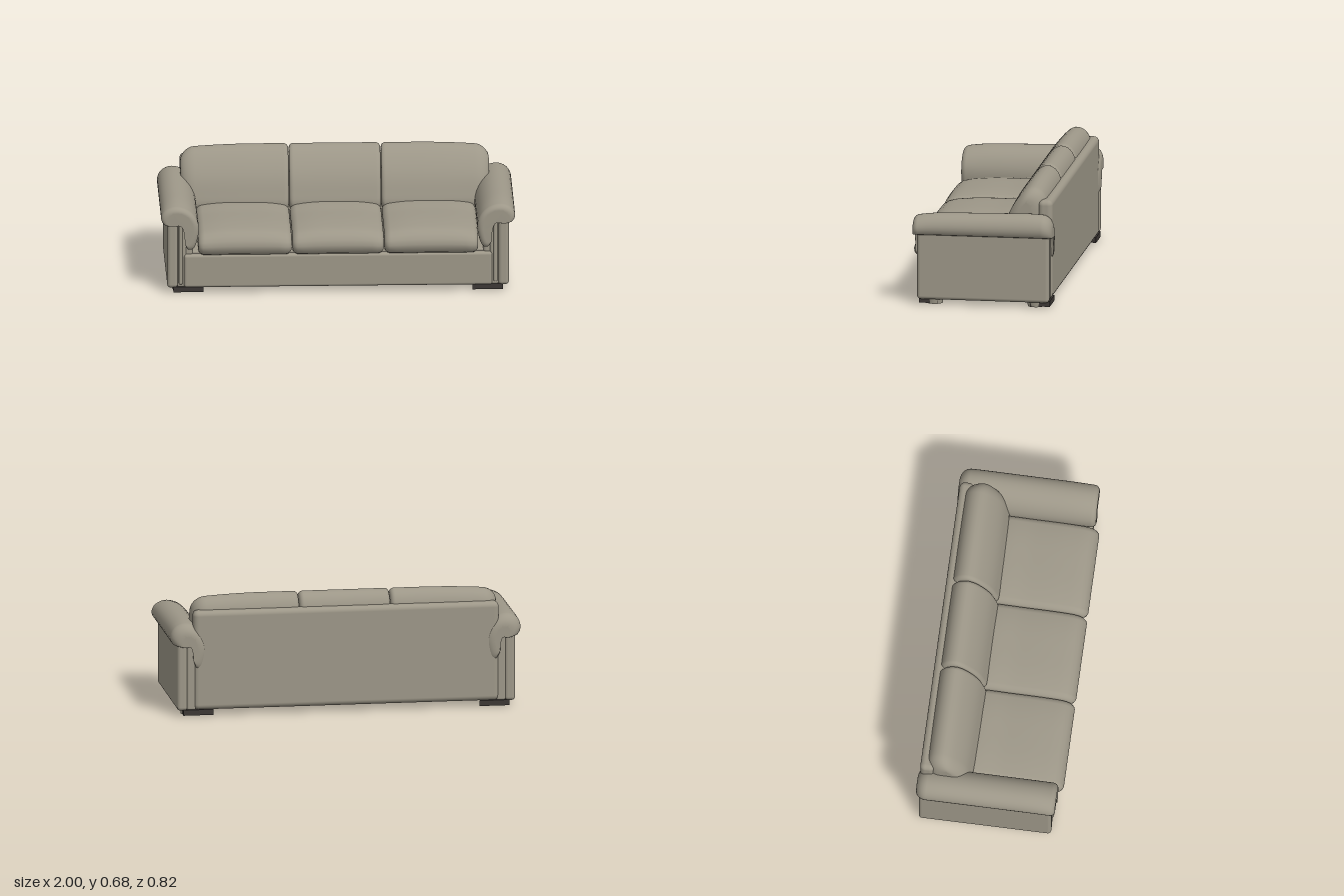
import * as THREE from 'three';
import { RoundedBoxGeometry } from 'three/addons/geometries/RoundedBoxGeometry.js';

const leather = new THREE.MeshStandardMaterial({ color: 0x9d9788 });
leather.name = 'greyLeather';
const footDark = new THREE.MeshStandardMaterial({ color: 0x3d3835 });
footDark.name = 'darkFoot';
const lining = new THREE.MeshStandardMaterial({ color: 0x7f7e75 });
lining.name = 'undersideLining';

function add(parent, name, geometry, material) {
  const mesh = new THREE.Mesh(geometry, material);
  mesh.name = name;
  parent.add(mesh);
  return mesh;
}

// Rounded block given by its extents
function block(parent, name, [x0, x1], [y0, y1], [z0, z1], r, material = leather) {
  const g = new RoundedBoxGeometry(x1 - x0, y1 - y0, z1 - z0, 4, r);
  g.translate((x0 + x1) / 2, (y0 + y1) / 2, (z0 + z1) / 2);
  return add(parent, name, g, material);
}

// Padded solid: a closed smooth profile swept from t0 to t1 with rounded ends.
// place(t, u, v) turns a sweep position and a profile point into a position.
function padded(profile, t0, t1, r0, r1, place) {
  const curve = new THREE.CatmullRomCurve3(
    profile.map(([u, v]) => new THREE.Vector3(u, v, 0)), true, 'centripetal');
  const n = 48;
  const ring = curve.getSpacedPoints(n).slice(0, n);
  const box = new THREE.Box3().setFromPoints(ring);
  const c = box.getCenter(new THREE.Vector3());
  const half = box.getSize(new THREE.Vector3()).multiplyScalar(0.5);

  // Stations: [position, inset]
  const stations = [];
  const steps = 7, middle = 14;
  for (let i = 0; i <= steps; i++) {
    const a = (1 - i / steps) * Math.PI / 2;
    stations.push([t0 + r0 * (1 - Math.sin(a)), r0 * (1 - Math.cos(a))]);
  }
  for (let i = 1; i < middle; i++) {
    stations.push([THREE.MathUtils.lerp(t0 + r0, t1 - r1, i / middle), 0]);
  }
  for (let i = 0; i <= steps; i++) {
    const a = i / steps * Math.PI / 2;
    stations.push([t1 - r1 * (1 - Math.sin(a)), r1 * (1 - Math.cos(a))]);
  }

  const pos = [], index = [];
  for (const [t, inset] of stations) {
    const su = Math.max(0.05, 1 - inset / half.x), sv = Math.max(0.05, 1 - inset / half.y);
    for (const p of ring) pos.push(...place(t, c.x + (p.x - c.x) * su, c.y + (p.y - c.y) * sv));
  }
  const last = stations.length - 1;
  for (let s = 0; s < last; s++) {
    for (let i = 0; i < n; i++) {
      const a = s * n + i, b = s * n + (i + 1) % n;
      index.push(a, b, a + n, b, b + n, a + n);
    }
  }
  // End caps
  const flat = ring.map((p) => new THREE.Vector2(p.x, p.y));
  for (const [a, b, d] of THREE.ShapeUtils.triangulateShape(flat, [])) {
    const ccw = !THREE.ShapeUtils.isClockWise(flat);
    const [p, q] = ccw ? [b, d] : [d, b];
    const f = ccw ? 1 : -1;
    const tri = f > 0 ? [a, p, q] : [a, q, p];
    const [i, j, k] = tri;
    index.push(i, k, j, last * n + i, last * n + j, last * n + k);
  }
  // Turn the faces outward
  let volume = 0;
  const A = new THREE.Vector3(), B = new THREE.Vector3(), C = new THREE.Vector3();
  for (let i = 0; i < index.length; i += 3) {
    A.fromArray(pos, index[i] * 3);
    B.fromArray(pos, index[i + 1] * 3);
    C.fromArray(pos, index[i + 2] * 3);
    volume += A.dot(B.cross(C));
  }
  if (volume < 0) index.reverse();
  const g = new THREE.BufferGeometry();
  g.setAttribute('position', new THREE.Float32BufferAttribute(pos, 3));
  g.setIndex(index);
  g.computeVertexNormals();
  return g;
}

// Profiles: seat and back as (z, y), arm pad as (x, y)
const seatProfile = [[-0.2, 0.24], [0.1, 0.225], [0.36, 0.225], [0.398, 0.25], [0.41, 0.282],
  [0.398, 0.32], [0.36, 0.355], [0.25, 0.375], [0.05, 0.382], [-0.15, 0.38], [-0.21, 0.31]];
const backProfile = [[-0.1, 0.36], [-0.112, 0.44], [-0.142, 0.53], [-0.19, 0.61], [-0.24, 0.663],
  [-0.28, 0.679], [-0.325, 0.66], [-0.355, 0.61], [-0.362, 0.52], [-0.35, 0.4], [-0.28, 0.33], [-0.14, 0.325]];
const armProfile = [[0.955, 0.405], [0.985, 0.41], [1.0, 0.45], [0.98, 0.498], [0.93, 0.524],
  [0.87, 0.515], [0.82, 0.475], [0.79, 0.41], [0.79, 0.34], [0.82, 0.26], [0.85, 0.26],
  [0.86, 0.34], [0.885, 0.405]];

export function createModel() {
  const group = new THREE.Group();
  group.name = 'sofa';

  // Frame
  block(group, 'frontRail', [-0.87, 0.87], [0.033, 0.225], [0.3, 0.366], 0.015);
  block(group, 'seatDeck', [-0.87, 0.87], [0.08, 0.24], [-0.36, 0.33], 0.01);
  block(group, 'backFrame', [-0.872, 0.872], [0.033, 0.603], [-0.397, -0.315], 0.03);
  block(group, 'undersidePanel', [-0.87, 0.87], [0.062, 0.07], [-0.34, 0.32], 0.002, lining);

  // Cushions
  const spans = [[-0.79, -0.262], [-0.258, 0.258], [0.262, 0.79]];
  spans.forEach(([x0, x1], i) => {
    const mid = (x0 + x1) / 2, halfWidth = (x1 - x0) / 2;
    const seat = padded(seatProfile, x0, x1, 0.035, 0.035, (t, z, y) => {
      const e = Math.abs(t - mid) / halfWidth;
      return [t, 0.225 + (y - 0.225) * (1 - 0.14 * e ** 3), z];
    });
    add(group, 'seatCushion' + (i + 1), seat, leather);

    const b0 = i === 0 ? -0.872 : x0, b1 = i === 2 ? 0.872 : x1;
    const back = padded(backProfile, b0, b1, i === 0 ? 0.08 : 0.025, i === 2 ? 0.08 : 0.025,
      (t, z, y) => {
        const outer = Math.max(0, (Math.abs(t) - 0.45) / 0.42);
        return [t, y - 0.018 * outer ** 2 * (y > 0.5 ? (y - 0.5) / 0.17 : 0), z - 0.012 * outer ** 2 * (z > -0.25 ? 1 : 0) * (z + 0.25) / 0.15];
      });
    add(group, 'backCushion' + (i + 1), back, leather);
  });

  // Arms and feet
  for (const s of [1, -1]) {
    const side = s > 0 ? 'left' : 'right';
    const span = (a, b) => (s > 0 ? [a, b] : [-b, -a]);
    block(group, side + 'ArmOuterPanel', span(0.905, 0.965), [0.03, 0.45], [-0.392, 0.362], 0.02);
    block(group, side + 'ArmInnerPanel', span(0.858, 0.91), [0.033, 0.45], [-0.388, 0.352], 0.012);
    block(group, side + 'ArmWelt', span(0.878, 0.9), [0.05, 0.44], [0.33, 0.362], 0.009);
    block(group, side + 'ArmFiller', span(0.82, 0.88), [0.21, 0.45], [-0.37, 0.34], 0.02);

    // Rolled pad, rising gently toward the back
    const pad = padded(armProfile, -0.408, 0.385, 0.06, 0.03, (z, x, y) => {
      const front = Math.max(0, (z - 0.2) / 0.185);
      const back = Math.max(0, (-z - 0.25) / 0.16);
      const lift = THREE.MathUtils.clamp((y - 0.4) / 0.12, 0, 1);
      const rise = 0.004 - 0.02 * z - 0.016 * front ** 2 - 0.014 * back ** 2;
      return [s * x, y + rise * lift, z];
    });
    add(group, side + 'ArmPad', pad, leather);

    for (const f of [1, -1]) {
      const end = f > 0 ? 'Front' : 'Back';
      const z = f > 0 ? 0.355 : -0.393;
      // Corner wedge
      const corner = [[0.76, z], [0.93, z], [0.93, z - f * 0.11], [0.89, z - f * 0.11], [0.78, z - f * 0.04]];
      const shape = new THREE.Shape(corner.map(([px, pz]) => new THREE.Vector2(s * px, -pz)));
      const wedge = new THREE.ExtrudeGeometry(shape, { depth: 0.032, bevelEnabled: false });
      wedge.rotateX(-Math.PI / 2).translate(0, 0.004, 0);
      add(group, side + end + 'FootWedge', wedge, footDark);
      // Round foot
      const disc = new THREE.CylinderGeometry(0.05, 0.046, 0.036, 28);
      disc.translate(s * 0.888, 0.018, z - f * 0.085);
      add(group, side + end + 'FootDisc', disc, leather);
    }
  }
  return group;
}
